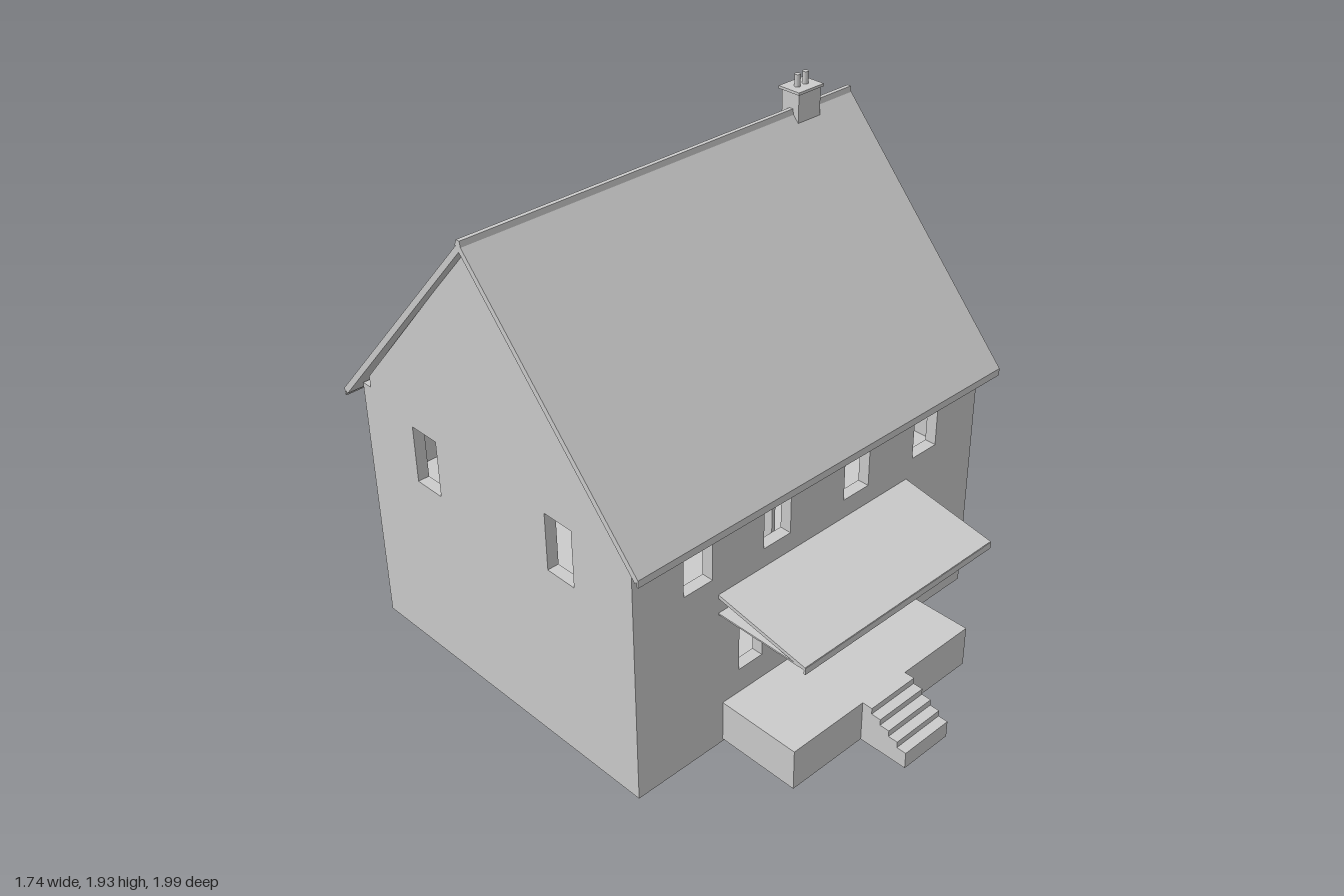
import * as THREE from 'three';

const mat = new THREE.MeshStandardMaterial({ color: 0xcccccc, flatShading: true, side: THREE.DoubleSide });

export function createModel() {
  const house = new THREE.Group();
  house.name = 'house';

  const add = (name, geo, parent = house) => {
    const m = new THREE.Mesh(geo, mat);
    m.name = name;
    parent.add(m);
    return m;
  };

  // Box given by its limits on each axis
  const box = (name, x0, x1, y0, y1, z0, z1, parent) =>
    add(name, new THREE.BoxGeometry(x1 - x0, y1 - y0, z1 - z0)
      .translate((x0 + x1) / 2, (y0 + y1) / 2, (z0 + z1) / 2), parent);

  // Outline with rectangular openings [a0, a1, y0, y1]
  const outline = (pts, holes = []) => {
    const s = new THREE.Shape(pts.map(p => new THREE.Vector2(...p)));
    for (const [a0, a1, y0, y1] of holes) {
      s.holes.push(new THREE.Path([[a0, y0], [a0, y1], [a1, y1], [a1, y0]].map(p => new THREE.Vector2(...p))));
    }
    return s;
  };

  // Panel in the x-y plane, thick along z
  const panelXY = (name, pts, holes, z0, z1) =>
    add(name, new THREE.ExtrudeGeometry(outline(pts, holes), { depth: z1 - z0, bevelEnabled: false }).translate(0, 0, z0));

  // Profile in the z-y plane, swept along x
  const panelZY = (name, pts, holes, x0, x1, parent) =>
    add(name, new THREE.ExtrudeGeometry(outline(pts, holes), { depth: x1 - x0, bevelEnabled: false })
      .rotateY(-Math.PI / 2).translate(x1, 0, 0), parent);

  const rect = (a0, a1, y0, y1) => [[a0, y0], [a1, y0], [a1, y1], [a0, y1]];
  const W = 0.835, ZF = 0.47, ZB = -0.92, ZR = -0.225, T = 0.045;

  // Long walls with windows and doors
  const upper = [-0.557, -0.195, 0.195, 0.557].map(x => [x - 0.063, x + 0.063, 0.725, 0.95]);
  panelXY('frontWall', rect(-W, W, 0, 1.005), [
    ...upper,
    [-0.37, -0.26, 0.275, 0.53],
    [0.26, 0.37, 0.275, 0.53],
    [-0.07, 0.07, 0.18, 0.5],
  ], ZF - T, ZF);
  panelXY('backWall', rect(-W, W, 0, 1.005), [
    [0.28, 0.41, 0.275, 0.53],
    [-0.485, -0.355, 0.18, 0.5],
  ], ZB, ZB + T);

  // Gable walls
  const zi = ZF - T, zo = ZB + T;
  const gable = [[zo, 0], [zi, 0], [zi, 1.05], [ZR, 1.785], [zo, 1.05]];
  const sideWindows = [[0.06, 0.19, 0.725, 0.95], [-0.64, -0.51, 0.725, 0.95]];
  panelZY('rightGable', gable, sideWindows, -W, -W + T);
  panelZY('leftGable', gable, sideWindows, W - T, W);

  // Floors, ceiling and inner walls
  const wi = W - T;
  box('groundFloor', -wi, wi, 0.15, 0.18, zo, zi);
  box('upperFloor', -wi, wi, 0.58, 0.6, zo, zi);
  box('atticFloor', -wi, wi, 0.98, 1.0, zo, zi);
  box('groundPartition', -wi, wi, 0.18, 0.58, -0.21, -0.195);
  for (const x of [-0.175, 0.16]) {
    panelZY('upperPartition', rect(zo, zi, 0.6, 0.98), [[0.04, 0.21, 0.605, 0.89]], x, x + 0.015);
  }

  // Main roof with eaves boards and ridge cap
  const roof = new THREE.Group();
  roof.name = 'roof';
  house.add(roof);
  const E = 0.87, half = 0.765;
  panelZY('roofSlopes', [
    [ZR + half, 0.968], [ZR, 1.812], [ZR - half, 0.968],
    [ZR - half + 0.015, 0.95], [ZR, 1.78], [ZR + half - 0.015, 0.95],
  ], [], -E, E, roof);
  box('frontEavesBoard', -E, E, 0.94, 0.968, ZR + half - 0.008, ZR + half, roof);
  box('backEavesBoard', -E, E, 0.94, 0.968, ZR - half, ZR - half + 0.008, roof);
  panelZY('ridgeCap', [
    [ZR + 0.012, 1.798], [ZR + 0.008, 1.82], [ZR - 0.008, 1.82], [ZR - 0.018, 1.798],
  ], [], -E, E, roof);

  // Chimney with two pots
  const chimney = new THREE.Group();
  chimney.name = 'chimney';
  house.add(chimney);
  box('chimneyStack', 0.57, 0.68, 1.77, 1.882, -0.27, -0.19, chimney);
  box('chimneyCap', 0.562, 0.688, 1.88, 1.89, -0.28, -0.183, chimney);
  for (const x of [0.605, 0.645]) {
    add('chimneyPot', new THREE.CylinderGeometry(0.011, 0.011, 0.05, 16).translate(x, 1.91, -0.231), chimney);
  }

  // Porch deck and steps
  const porch = new THREE.Group();
  porch.name = 'porch';
  house.add(porch);
  box('porchDeck', -0.447, 0.447, 0.01, 0.175, ZF, 0.803, porch);
  const steps = [[0.8, 0.01], [1, 0.01]];
  for (let i = 0; i < 5; i++) {
    const z = 1 - i * 0.039, y = 0.077 + i * 0.0245;
    steps.push([z, y], [i < 4 ? z - 0.039 : 0.8, y]);
  }
  panelZY('porchSteps', steps, [], -0.11, 0.11, porch);

  // Lean-to porch roof, open at the ends
  panelZY('porchRoof', [
    [ZF, 0.635], [0.855, 0.566], [0.855, 0.58], [ZF, 0.65],
  ], [], -0.467, 0.467, porch);
  box('porchEavesBoard', -0.467, 0.467, 0.552, 0.578, 0.85, 0.857, porch);
  box('porchCeiling', -0.467, 0.467, 0.568, 0.574, ZF, 0.852, porch);

  return house;
}
